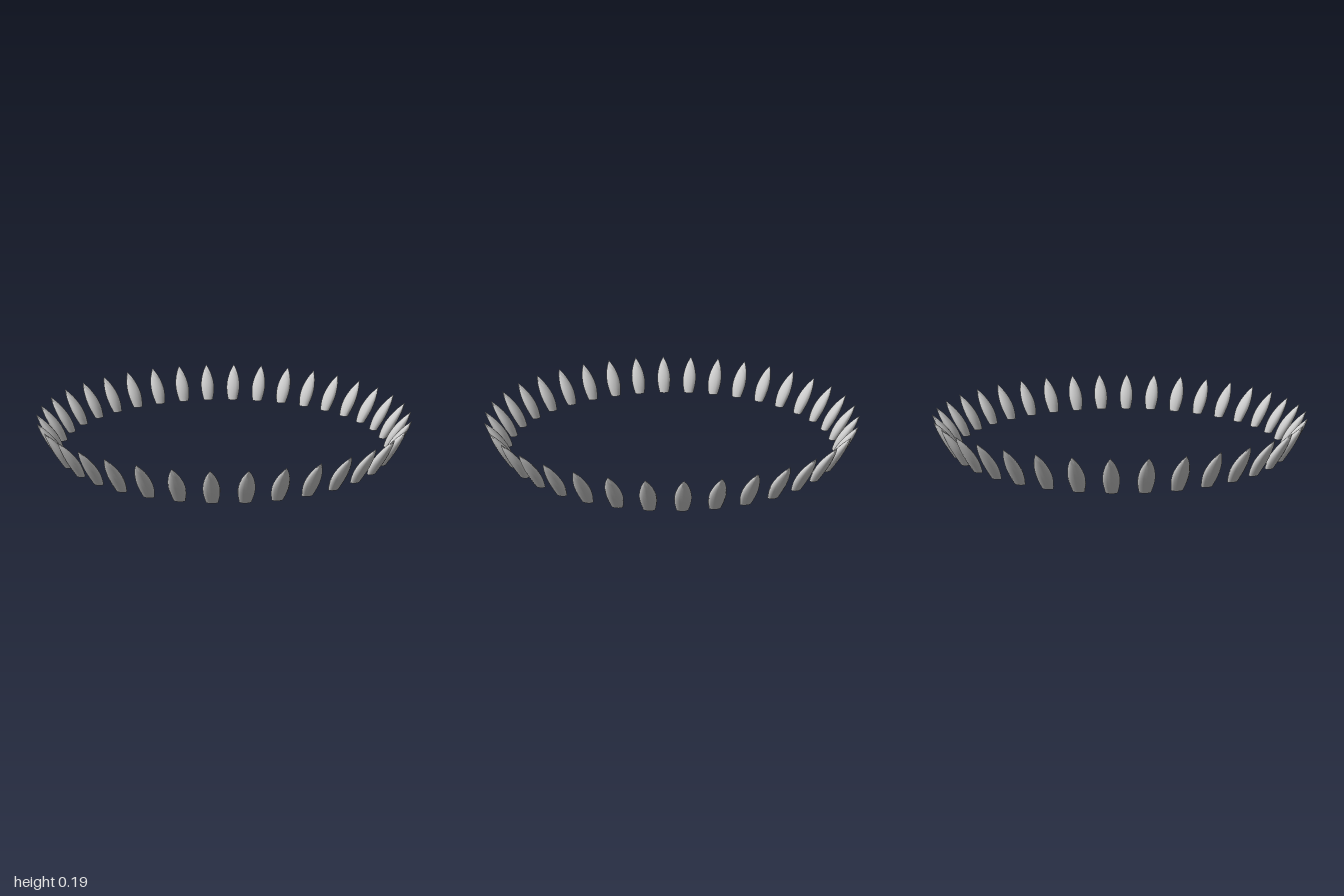
import * as THREE from 'three';
import { toCreasedNormals } from 'three/addons/utils/BufferGeometryUtils.js';

const COUNT = 36;
const HEIGHT = 0.195;

// One petal: a pointed bud, flattened front to back and leaning outward along +z
function petalGeometry() {
  const side = new THREE.SplineCurve([
    [0.029, 0], [0.038, 0.04], [0.041, 0.08], [0.035, 0.12], [0.021, 0.16], [0, HEIGHT],
  ].map(([r, y]) => new THREE.Vector2(r, y))).getPoints(12);
  // flat base, then the side up to the tip
  const geometry = new THREE.LatheGeometry([new THREE.Vector2(0, 0), ...side], 14);
  const p = geometry.attributes.position;
  for (let i = 0; i < p.count; i++) {
    const t = p.getY(i) / HEIGHT;
    const lean = 0.882 + 0.085 * t + 0.033 * t * t;
    p.setZ(i, p.getZ(i) * 0.7 + lean);
  }
  return toCreasedNormals(geometry, Math.PI / 4);
}

export function createModel() {
  const model = new THREE.Group();
  model.name = 'petalRing';
  const material = new THREE.MeshStandardMaterial({ color: 0xcccccc, side: THREE.DoubleSide });
  const geometry = petalGeometry();

  // Petals evenly spaced around the ring
  for (let i = 0; i < COUNT; i++) {
    const petal = new THREE.Mesh(geometry, material);
    petal.name = `petal${i + 1}`;
    petal.rotation.y = (i / COUNT) * Math.PI * 2;
    model.add(petal);
  }
  return model;
}
